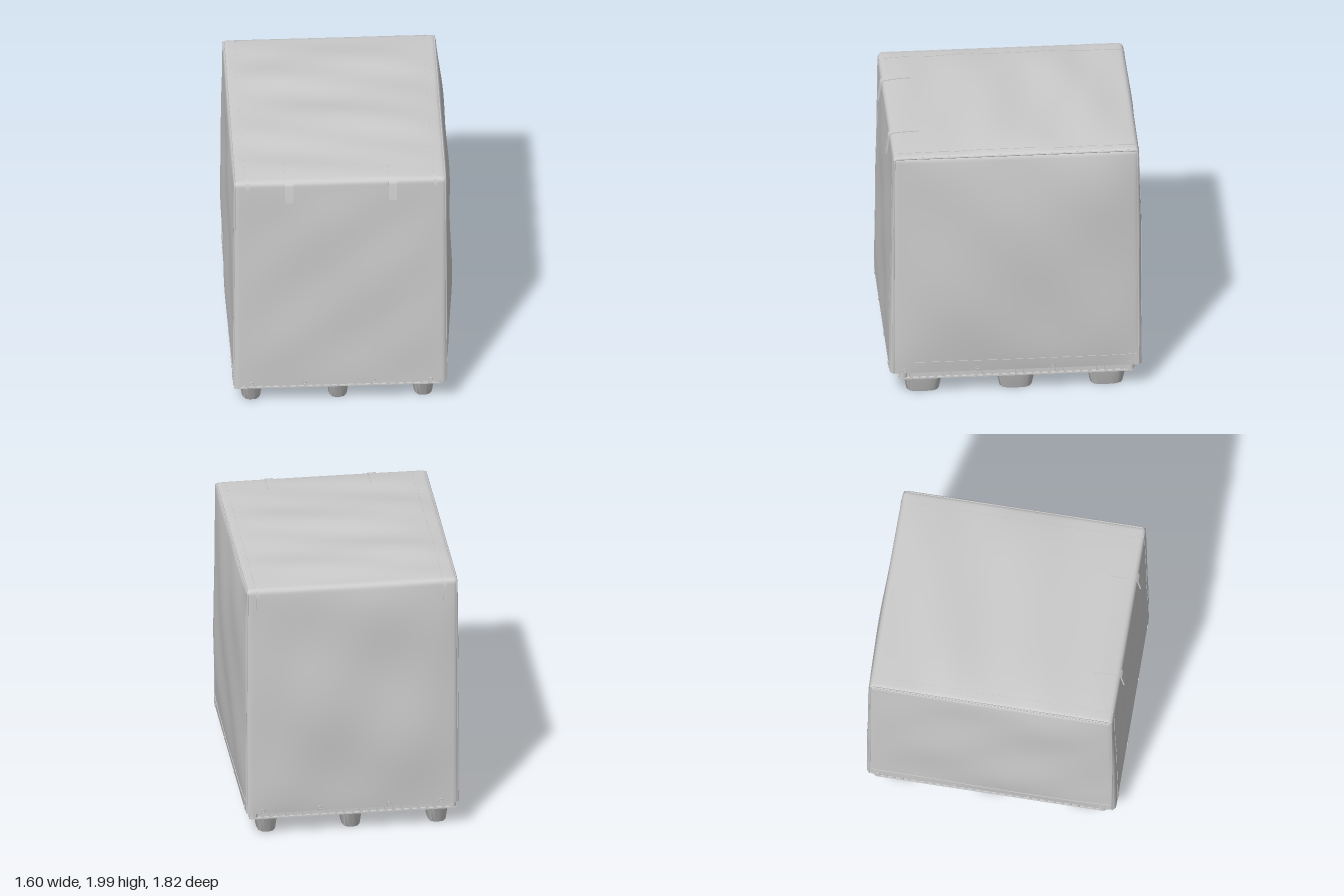
import * as THREE from 'three';
import { mergeVertices, toCreasedNormals } from 'three/addons/utils/BufferGeometryUtils.js';

const grey = new THREE.MeshStandardMaterial({ color: 0xcccccc });
const cloth = new THREE.MeshStandardMaterial({ color: 0xcccccc, side: THREE.DoubleSide });

// Nominal limits of the fabric cover, before bulging
const X0 = -0.765, X1 = 0.735, Y0 = 0.21, Y1 = 1.957, Z0 = -0.86, Z1 = 0.872, R = 0.03;
const { clamp, lerp } = THREE.MathUtils;
const V = (x, y, z) => new THREE.Vector3(x, y, z);

// Rounds the nominal box, then adds the bulge and folds of each panel
function coverPoint(p, lift = 0) {
  const inner = V(clamp(p.x, X0 + R, X1 - R), Math.min(p.y, Y1 - R), clamp(p.z, Z0 + R, Z1 - R));
  const n = p.clone().sub(inner).normalize();
  const u = 2 * (p.x - X0) / (X1 - X0) - 1;
  const v = 2 * (p.y - Y0) / (Y1 - Y0) - 1;
  const w = 2 * (p.z - Z0) / (Z1 - Z0) - 1;
  const env = (a, b) => (1 - a ** 4) * (1 - b ** 4);
  const { sin } = Math;
  let d;
  const right = env(v, w) * (0.046 + 0.009 * sin(3 * v + 2.5 * w + 1) + 0.006 * sin(5 * v - 6 * w));
  const left = env(v, w) * (0.022 + 0.012 * sin(3.5 * v + 3 * w + 3.4) + 0.004 * sin(6 * v - 5 * w));
  const front = 0.012 * (1 - v) + env(u, v) * (0.008 + 0.006 * sin(4 * u + 3 * v) + 0.004 * sin(5 * u - 7 * v));
  const back = 0.01 * (1 - v) + env(u, v) * (0.026 + 0.011 * sin(5 * v - 2 * u + 2.6) + 0.005 * sin(6 * u + 3 * v));
  const top = env(u, w) * (0.025 + 0.009 * sin(8 * w * (1 - 0.25 * u) + 1.2 * u) + 0.004 * sin(15 * w - 3 * u));
  d = n.x ** 2 * (n.x > 0 ? right : left) + n.z ** 2 * (n.z > 0 ? front : back) + n.y ** 2 * top;
  return inner.addScaledVector(n, R + d + lift);
}

// Five-sided fabric shell, finer towards its edges
function coverGeometry() {
  let g = new THREE.BoxGeometry(2, 2, 2, 56, 56, 56);
  const kept = [];
  g.groups.forEach((s, i) => {
    if (i !== 3) for (let k = s.start; k < s.start + s.count; k++) kept.push(g.index.getX(k));
  });
  g.setIndex(kept);
  g.clearGroups();
  const pos = g.attributes.position;
  const ease = t => (lerp(t, Math.sin(t * Math.PI / 2), 0.8) + 1) / 2;
  for (let i = 0; i < pos.count; i++) {
    const p = V(lerp(X0, X1, ease(pos.getX(i))), lerp(Y0, Y1, ease(pos.getY(i))), lerp(Z0, Z1, ease(pos.getZ(i))));
    pos.setXYZ(i, ...coverPoint(p).toArray());
  }
  g.deleteAttribute('normal');
  g.deleteAttribute('uv');
  g = mergeVertices(g);
  g.computeVertexNormals();
  return g;
}

// Closely spaced points along a broken line
function trace(corners, steps = 30) {
  const out = [];
  for (let i = 0; i < corners.length - 1; i++)
    for (let k = 0; k < steps; k++) {
      const t = k / steps;
      out.push(corners[i].clone().lerp(corners[i + 1], (t + 0.5 - 0.5 * Math.cos(Math.PI * t)) / 2));
    }
  out.push(corners.at(-1).clone());
  return out;
}

// Flat band lying on the cover along a path
function ribbon(corners, side, lift, flare = () => 0) {
  const pts = trace(corners), verts = [], idx = [];
  pts.forEach((p, i) => {
    for (const [s, h] of [[-1, -0.004], [-1, lift], [-0.33, lift], [0.33, lift], [1, lift], [1, -0.004]]) {
      const q = coverPoint(p.clone().addScaledVector(side, s), h);
      q.z += flare(p);
      verts.push(q.x, q.y, q.z);
    }
    if (i) for (let k = 0; k < 5; k++) {
      const a = (i - 1) * 6 + k, b = i * 6 + k;
      idx.push(a, b, a + 1, b, b + 1, a + 1);
    }
  });
  const g = new THREE.BufferGeometry();
  g.setAttribute('position', new THREE.Float32BufferAttribute(verts, 3));
  g.setIndex(idx);
  return toCreasedNormals(g, 0.7);
}

// Pallet deck outline with curved rows of slots round the feet
const FX = [-0.635, -0.025, 0.575], FZ = [-0.64, 0, 0.655];
const PX = -0.025, PW = 0.735, PD = 0.83;
function deckGeometry() {
  const s = new THREE.Shape(), w = PW - 0.02, d = PD - 0.02, r = 0.03;
  s.absarc(PX + w - r, d - r, r, 0, Math.PI / 2);
  s.absarc(PX - w + r, d - r, r, Math.PI / 2, Math.PI);
  s.absarc(PX - w + r, -d + r, r, Math.PI, Math.PI * 1.5);
  s.absarc(PX + w - r, -d + r, r, Math.PI * 1.5, Math.PI * 2);
  for (const fx of FX) for (const fz of FZ) for (const e of [0.06, 0.115, 0.17, 0.225]) {
    const rx = 0.085 + e, rz = 0.145 + e, count = Math.round(Math.PI * (rx + rz) / 0.11);
    for (let i = 0; i < count; i++) {
      const a = (i + 0.5) / count * Math.PI * 2;
      const dx = rx * Math.cos(a), dz = rz * Math.sin(a), x = fx + dx, z = fz + dz;
      if (Math.abs(dx) > 0.265 || Math.abs(dz) > 0.285 || Math.abs(x - PX) > PW - 0.07 || Math.abs(z) > PD - 0.07) continue;
      const t = V(-rx * Math.sin(a), rz * Math.cos(a), 0).normalize();
      const hole = new THREE.Path();
      hole.setFromPoints([[-1, -1], [-1, 1], [1, 1], [1, -1]].map(([l, b]) =>
        new THREE.Vector2(x + t.x * l * 0.03 - t.y * b * 0.006, z + t.y * l * 0.03 + t.x * b * 0.006)));
      s.holes.push(hole);
    }
  }
  return new THREE.ExtrudeGeometry(s, { depth: 0.055, bevelEnabled: false, curveSegments: 5 }).rotateX(Math.PI / 2);
}

// Tapered foot with rounded-rectangle plan and a recessed base
function footGeometry() {
  const profile = [[0, 0.025], [0.3, 0.025], [0.36, 0], [0.74, 0], [0.79, 0.008], [0.94, 0.115], [1.04, 0.13], [1.06, 0.155]];
  const g = new THREE.LatheGeometry(profile.map(p => new THREE.Vector2(...p)), 40);
  const pos = g.attributes.position;
  for (let i = 0; i < pos.count; i++) {
    const x = pos.getX(i), z = pos.getZ(i), r = Math.hypot(x, z) || 1;
    const k = 1 / (Math.abs(x / r) ** 3 + Math.abs(z / r) ** 3 || 1) ** (1 / 3);
    pos.setXYZ(i, x * k * 0.085, pos.getY(i), z * k * 0.145);
  }
  return toCreasedNormals(g, 0.6);
}

export function createModel() {
  const model = new THREE.Group();
  const add = (name, geo, mat = grey, x = 0, y = 0, z = 0, parent = model) => {
    const m = new THREE.Mesh(geo, mat);
    m.name = name;
    m.position.set(x, y, z);
    parent.add(m);
    return m;
  };

  // Fabric cover
  add('cover', coverGeometry(), cloth);

  // Piping, overlapping seam bands and bottom hems on both side panels
  for (const [x, seam, name] of [[X0, -0.67, 'right'], [X1, 0.655, 'left']]) {
    const arch = a => [V(a, Y0, Z1), V(a, Y1, Z1), V(a, Y1, Z0), V(a, Y0, Z0)];
    const path = new THREE.CatmullRomCurve3(trace(arch(x)).map(p => coverPoint(p)));
    add(name + 'Piping', new THREE.TubeGeometry(path, 160, 0.007, 6), cloth);
    add(name + 'SeamBand', ribbon(arch(seam), V(0.012, 0, 0), 0.0025), cloth);
    add(name + 'Hem', ribbon([V(x, 0.255, Z0 + 0.02), V(x, 0.255, Z1 - 0.02)], V(0, 0.045, 0), 0.004), cloth);
  }

  // Two straps folded over the front top edge
  for (const x of [-0.375, 0.355])
    add('strap', ribbon([V(x, Y1, 0.67), V(x, Y1, Z1), V(x, 1.8, Z1)], V(0.029, 0, 0), 0.006,
      p => p.z >= Z1 - 1e-6 ? (Y1 - p.y) * 0.12 : 0), cloth);

  // Eyelets along the bottom of every panel
  const ring = new THREE.TorusGeometry(0.011, 0.004, 6, 16);
  const eyelet = (p, turn) => {
    const q = coverPoint(p, 0.004);
    add('eyelet', ring, grey, q.x, q.y, q.z).rotation.y = turn;
  };
  for (const z of [Z0, Z1]) for (const x of [-0.64, -0.27, 0.22, 0.62]) eyelet(V(x, 0.235, z), 0);
  for (const x of [X0, X1]) for (const z of [-0.8, -0.25, 0.28, 0.79]) eyelet(V(x, 0.235, z), Math.PI / 2);

  // Pallet deck with rim rails and ribs
  const pallet = new THREE.Group();
  pallet.name = 'pallet';
  model.add(pallet);
  add('deck', deckGeometry(), grey, 0, 0.205, 0, pallet);
  for (const s of [-1, 1]) {
    for (const [y, h] of [[0.206, 0.012], [0.147, 0.01]]) {
      add('rimRail', new THREE.BoxGeometry(PW * 2 - 0.02, h, 0.03), grey, PX, y, s * (PD - 0.015), pallet);
      add('rimRail', new THREE.BoxGeometry(0.03, h, PD * 2 - 0.02), grey, PX + s * (PW - 0.015), y, 0, pallet);
    }
    const rib = new THREE.BoxGeometry(0.022, 0.056, 0.022);
    for (let i = 0; i < 25; i++)
      add('rib', rib, grey, PX + lerp(-0.7, 0.7, i / 24), 0.173, s * (PD - 0.013), pallet);
    for (let i = 0; i < 29; i++)
      add('rib', rib, grey, PX + s * (PW - 0.013), 0.173, lerp(-0.8, 0.8, i / 28), pallet);
    for (const t of [-1, 1])
      add('rimCorner', new THREE.CylinderGeometry(0.03, 0.03, 0.07, 16), grey, PX + s * (PW - 0.03), 0.177, t * (PD - 0.03), pallet);
  }

  // Nine feet
  const foot = footGeometry();
  for (const x of FX) for (const z of FZ) add('foot', foot, grey, x, 0, z, pallet);

  return model;
}
